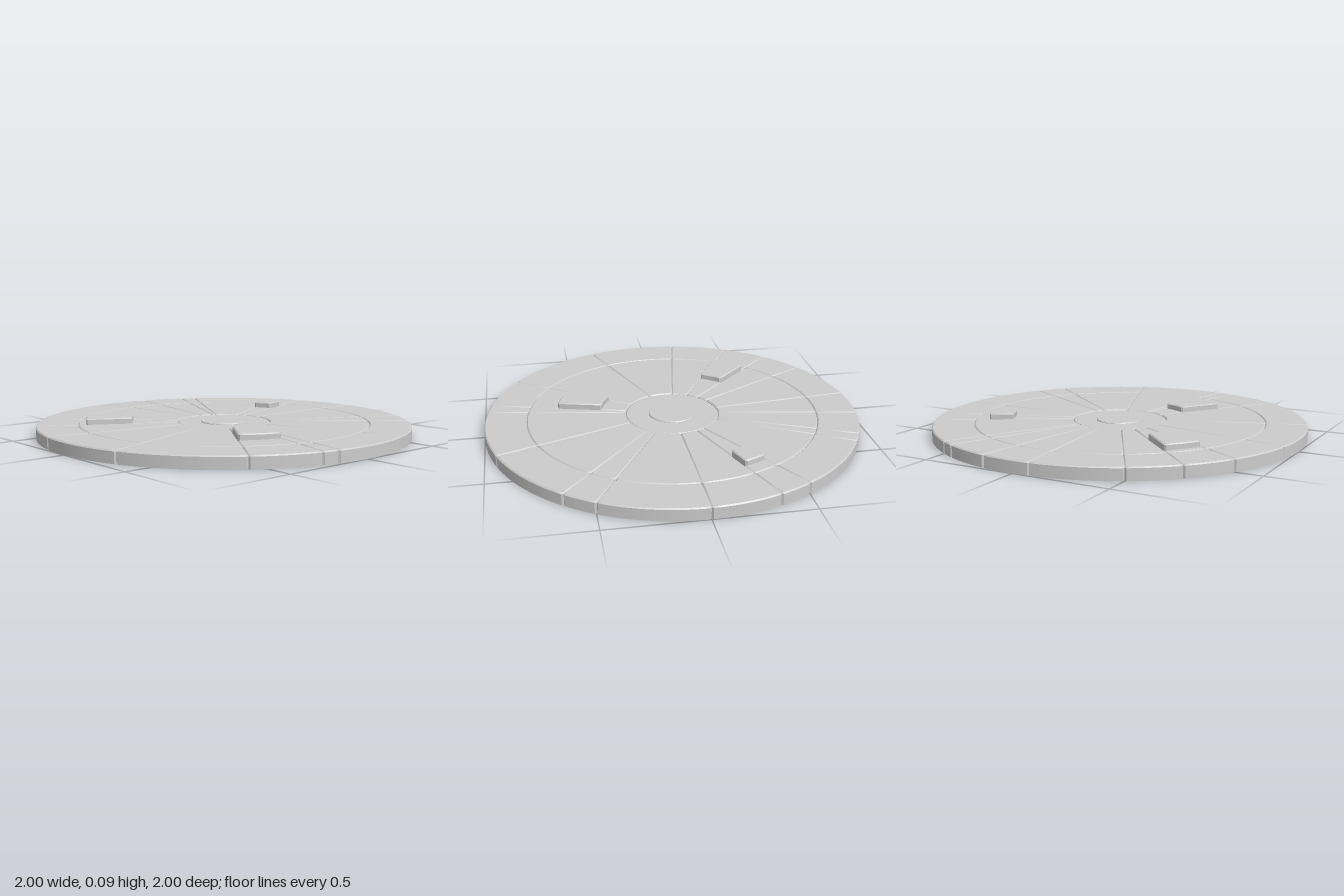
import * as THREE from 'three';
import { toCreasedNormals } from 'three/addons/utils/BufferGeometryUtils.js';

const BEVEL = 0.006;
const CORNER = 0.008;
const TOP = 0.064;
const HUB_RADIUS = 0.25;
const RING_RADIUS = 0.78;

// Angles of the radial seams in degrees, from +x towards +z
const SEAMS = [10, 15, 35, 70, 100, 120, 135, 150, 175, 190, 205, 210, 240, 250, 270, 300, 310, 340];

const material = new THREE.MeshStandardMaterial({ color: 0xcccccc, side: THREE.DoubleSide });

function addMesh(parent, geometry, name) {
  const mesh = new THREE.Mesh(toCreasedNormals(geometry, 0.6), material);
  mesh.name = name;
  parent.add(mesh);
  return mesh;
}

// Ring sector shell, open underneath, with bevelled top edge and clipped corners
function sectorShell(r0, r1, startDeg, endDeg, top) {
  const a0 = THREE.MathUtils.degToRad(startDeg);
  const a1 = THREE.MathUtils.degToRad(endDeg);
  const steps = Math.max(2, Math.ceil((endDeg - startDeg) / 2));
  const columns = steps + 3;
  const positions = [];
  const index = [];

  // One closed outline: outer edge forwards, then inner edge backwards
  const addOutline = (inset, y) => {
    const edge = (radius, clipSign) => {
      const points = [];
      for (let i = 0; i < columns; i++) {
        const atEnd = i === 0 || i === columns - 1;
        const r = atEnd ? radius + clipSign * CORNER : radius;
        const margin = Math.asin(inset / r) + (atEnd ? 0 : CORNER / r);
        const t = THREE.MathUtils.clamp((i - 1) / steps, 0, 1);
        const a = THREE.MathUtils.lerp(a0 + margin, a1 - margin, t);
        points.push([r * Math.cos(a), y, r * Math.sin(a)]);
      }
      return points;
    };
    const loop = [...edge(r1 - inset, -1), ...edge(r0 + inset, 1).reverse()];
    loop.forEach((p) => positions.push(...p));
  };
  addOutline(0, 0);
  addOutline(0, top - BEVEL);
  addOutline(BEVEL, top);

  // Walls and bevel
  const n = columns * 2;
  for (let layer = 0; layer < 2; layer++) {
    for (let i = 0; i < n; i++) {
      const a = layer * n + i;
      const b = layer * n + ((i + 1) % n);
      index.push(a, a + n, b, b, a + n, b + n);
    }
  }
  // Top face, strip between outer and inner edge
  for (let i = 0; i < columns - 1; i++) {
    const outer = 2 * n + i;
    const inner = 2 * n + (n - 1 - i);
    index.push(outer, inner, outer + 1, outer + 1, inner, inner - 1);
  }
  const geometry = new THREE.BufferGeometry();
  geometry.setAttribute('position', new THREE.Float32BufferAttribute(positions, 3));
  geometry.setIndex(index);
  return geometry;
}

function lathe(profile) {
  return new THREE.LatheGeometry(profile.map(([x, y]) => new THREE.Vector2(x, y)), 96);
}

export function createModel() {
  const model = new THREE.Group();
  model.name = 'panelledDisc';

  // Two rings of panels split along the same seams
  const innerPanels = new THREE.Group();
  innerPanels.name = 'innerPanels';
  const outerPanels = new THREE.Group();
  outerPanels.name = 'outerPanels';
  model.add(innerPanels, outerPanels);
  SEAMS.forEach((start, i) => {
    const end = i + 1 < SEAMS.length ? SEAMS[i + 1] : SEAMS[0] + 360;
    addMesh(innerPanels, sectorShell(HUB_RADIUS, RING_RADIUS, start, end, TOP), 'innerPanel');
    addMesh(outerPanels, sectorShell(RING_RADIUS, 1, start, end, TOP), 'outerPanel');
  });

  // Raised blocks passing through three inner panels
  const blocks = [
    [0.385, 0.627, 15, 35],
    [0.495, 0.74, 120, 135],
    [0.575, 0.705, 240, 250],
  ];
  for (const [r0, r1, start, end] of blocks) {
    addMesh(model, sectorShell(r0, r1, start, end, 0.095), 'raisedBlock');
  }

  // Hub ring and the slightly raised cap at its centre
  addMesh(model, lathe([
    [HUB_RADIUS, 0], [HUB_RADIUS, 0.054], [HUB_RADIUS - BEVEL, 0.06], [0.125, 0.06],
  ]), 'hubRing');
  addMesh(model, lathe([
    [0.126, 0], [0.126, 0.062], [0.122, 0.067], [0, 0.067],
  ]), 'centreCap');

  return model;
}
